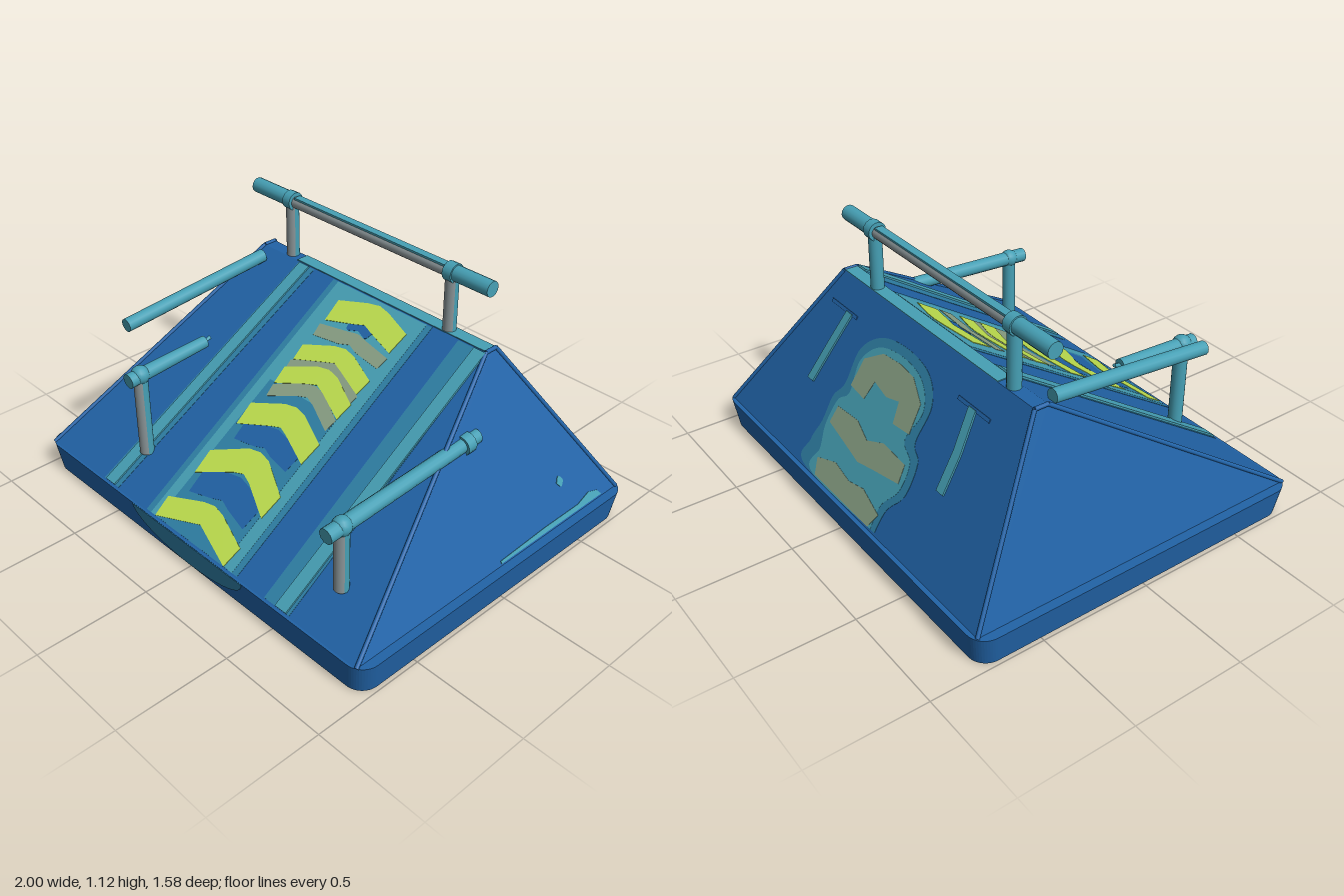
import * as THREE from 'three';

const material = (name, color) => {
  const m = new THREE.MeshStandardMaterial({ color, side: THREE.DoubleSide });
  m.name = name;
  return m;
};
const V = (x, y, z) => new THREE.Vector3(x, y, z);

export function createModel() {
  const blue = material('blue', 0x2163a7);
  const mid = material('midTeal', 0x2f80a6);
  const teal = material('teal', 0x46a0b5);
  const lime = material('lime', 0xbfe04f);
  const olive = material('olive', 0xa0b068);
  const khaki = material('khaki', 0x89a085);
  const grey = material('grey', 0x8c979a);

  const model = new THREE.Group();
  const add = (name, geometry, mat) => {
    const mesh = new THREE.Mesh(geometry, mat);
    mesh.name = name;
    model.add(mesh);
    return mesh;
  };

  // Round bar between two points
  const rod = (name, a, b, r, mat, r2 = r, start = 0, arc = Math.PI * 2) => {
    const g = new THREE.CylinderGeometry(r2, r, a.distanceTo(b), 14, 1, false, start, arc);
    const mesh = add(name, g, mat);
    mesh.position.copy(a).lerp(b, 0.5);
    mesh.quaternion.setFromUnitVectors(V(0, 1, 0), b.clone().sub(a).normalize());
  };

  // Upright teal post with a worn grey front
  const post = (name, x, z, y0, y1, r) => {
    const from = -0.75;
    const arc = 1.95;
    rod(name + 'Front', V(x, y0, z), V(x, y1, z), r, grey, r, from, arc);
    rod(name + 'Back', V(x, y0, z), V(x, y1, z), r, teal, r, from + arc, Math.PI * 2 - arc);
  };

  // Flat faces, each with a local frame for plates
  const frame = (origin, X, Y) =>
    new THREE.Matrix4().makeBasis(X, Y, X.clone().cross(Y).normalize()).setPosition(origin);
  const front = { m: frame(V(0, 0.6284, 0), V(1, 0, 0), V(0, 0.639, -1)), map: (x, z) => [x, -z] };
  const back = { m: frame(V(0, 1.426, 0), V(-1, 0, 0), V(0, 1.683, 1)), map: (x, z) => [-x, z] };
  const side = { m: frame(V(1.0316, 0, 0), V(0, 0, -1), V(-0.551, 1, 0)), map: (z, y) => [-z, y] };
  const floor = { m: frame(V(0, 0.1, 0), V(1, 0, 0), V(0, 0, -1)), map: (x, z) => [x, -z] };

  // Thin plate centred in a face
  const plate = (name, face, pts, mat, depth, smooth = false) => {
    const p = pts.map(([a, b]) => new THREE.Vector2(...face.map(a, b)));
    let shape = new THREE.Shape(p);
    if (smooth) {
      shape = new THREE.Shape();
      shape.moveTo(p[0].x, p[0].y);
      shape.splineThru([...p.slice(1), p[0]]);
    }
    const g = new THREE.ExtrudeGeometry(shape, { depth, bevelEnabled: false, curveSegments: 36 });
    g.translate(0, 0, -depth / 2).applyMatrix4(face.m);
    add(name, g, mat);
  };
  const band = (x0, x1, z0, z1, shift = 0) =>
    [[x0, z0], [x1, z0], [x1 - shift, z1], [x0 - shift, z1]];
  const chevron = (cx, w, apex, drop, t) => [
    [cx - w, apex + drop], [cx - 0.06, apex + 0.01], [cx, apex], [cx + 0.06, apex + 0.01],
    [cx + w, apex + drop], [cx + w - 0.01, apex + drop + t], [cx + 0.05, apex + t + 0.015],
    [cx, apex + t], [cx - 0.05, apex + t + 0.015], [cx - w + 0.01, apex + drop + t]];

  // Base tray with rounded corners, narrower at the foot
  const roundedRect = (Type, w, d, r) => {
    const s = new Type();
    [[w - r, d - r, 0], [r - w, d - r, 1], [r - w, r - d, 2], [w - r, r - d, 3]].forEach(
      ([x, y, i]) => s.absarc(x, y, r, i * Math.PI / 2, (i + 1) * Math.PI / 2));
    s.closePath();
    return s;
  };
  const outline = roundedRect(THREE.Shape, 1, 0.79, 0.08);
  outline.holes.push(roundedRect(THREE.Path, 0.945, 0.735, 0.04));
  const tray = new THREE.ExtrudeGeometry(outline, { depth: 0.13, bevelEnabled: false, curveSegments: 6 });
  tray.rotateX(-Math.PI / 2);
  const tp = tray.attributes.position;
  for (let i = 0; i < tp.count; i++) {
    if (tp.getY(i) < 0.01) tp.setXYZ(i, tp.getX(i) * 0.982, 0, tp.getZ(i) * 0.978);
  }
  tray.computeVertexNormals();
  add('baseTray', tray, blue);

  // Sloping shell
  const c = [
    V(-0.96, 0.13, 0.78), V(0.96, 0.13, 0.78), V(0.96, 0.13, -0.77), V(-0.96, 0.13, -0.77),
    V(-0.74, 0.82, -0.3), V(0.58, 0.82, -0.3), V(0.58, 0.82, -0.36), V(-0.74, 0.82, -0.36)];
  const quads = [[0, 1, 5, 4], [1, 2, 6, 5], [2, 3, 7, 6], [3, 0, 4, 7], [4, 5, 6, 7]];
  const corners = quads.flatMap(([a, b, d, e]) => [a, b, d, a, d, e].map((i) => c[i]));
  const shell = new THREE.BufferGeometry().setFromPoints(corners);
  shell.computeVertexNormals();
  add('rampShell', shell, blue);

  // Ribs along the shell edges
  [[0, 4], [1, 5], [2, 6], [3, 7], [4, 7], [5, 6]].forEach(([a, b]) => rod('edgeRib', c[a], c[b], 0.009, blue));
  const cap = add('ridgePaint', new THREE.BoxGeometry(1.1, 0.006, 0.06), teal);
  cap.position.set(0.03, 0.821, -0.33);

  // Painted bands on the front ramp
  plate('centreHalo', front, band(-0.28, 0.3, 0.775, -0.295), mid, 0.003);
  plate('centreBand', front, band(-0.25, 0.27, 0.775, -0.295), teal, 0.0045);
  plate('centreLane', front, band(-0.2, 0.21, 0.775, 0.15), mid, 0.006);
  plate('leftTrackHalo', front, band(-0.58, -0.48, 0.775, -0.295, -0.075), mid, 0.003);
  plate('rightTrackHalo', front, band(0.46, 0.6, 0.775, -0.295, 0.02), mid, 0.003);
  [[0.02, 0.2, -0.15, 0.03, 0.05], [0.02, 0.2, -0.02, 0.07, 0.05], [0.02, 0.19, 0.09, 0.07, 0.05]]
    .forEach((k) => plate('fadedChevron', front, chevron(...k), khaki, 0.0075));
  [[0.01, 0.17, 0.29, 0.03, 0.08], [0.01, 0.18, 0.5, 0.04, 0.1], [0.01, 0.07, -0.19, 0.01, 0.03]]
    .forEach((k) => plate('blueGap', front, chevron(...k), blue, 0.0075));

  // Chevrons on the ramp, repeated lengthened over the underside
  plate('undersideFloor', floor, band(-0.95, 0.95, 0.74, -0.74), blue, 0.003);
  const stretch = 1.35;
  [[0.02, 0.2, -0.28, 0.05, 0.09], [0.02, 0.2, -0.08, 0.06, 0.065], [0.02, 0.2, 0.015, 0.07, 0.07],
    [0.01, 0.21, 0.19, 0.07, 0.09], [0.01, 0.22, 0.39, 0.09, 0.095], [0, 0.23, 0.63, 0.065, 0.08]]
    .forEach((k) => {
      const pts = chevron(...k);
      plate('chevron', front, pts, lime, 0.0095);
      plate('undersideChevron', floor, pts.map(([x, z]) => [x, (z - 0.24) * stretch]), olive, 0.008);
    });

  // Raised side tracks
  [[-0.565, -0.505, -0.07], [0.525, 0.585, 0]].forEach(([x0, x1, shift]) =>
    plate('sideTrack', front, band(x0, x1, 0.775, -0.295, shift), teal, 0.018));

  // Faded paint on the front of the tray
  const fade = new THREE.Shape();
  fade.absellipse(-0.01, 0, 0.35, 0.125, Math.PI, Math.PI * 2);
  const trayPaint = add('trayPaint', new THREE.ExtrudeGeometry(fade, { depth: 0.003, bevelEnabled: false }), mid);
  trayPaint.position.set(0, 0.128, 0.789);
  trayPaint.rotation.x = 0.133;

  // Painted patches on the back slope
  plate('backHalo', back, [[-0.26, -0.765], [-0.27, -0.71], [-0.33, -0.66], [-0.32, -0.59], [-0.26, -0.56],
    [-0.26, -0.48], [-0.17, -0.43], [0, -0.415], [0.17, -0.43], [0.27, -0.48], [0.27, -0.56],
    [0.31, -0.6], [0.31, -0.66], [0.33, -0.71], [0.3, -0.765]], mid, 0.003, true);
  plate('backBand', back, [[-0.23, -0.765], [-0.23, -0.71], [-0.29, -0.66], [-0.28, -0.6], [-0.2, -0.57],
    [-0.23, -0.5], [-0.15, -0.45], [0, -0.435], [0.16, -0.45], [0.24, -0.5], [0.22, -0.57],
    [0.27, -0.6], [0.28, -0.66], [0.25, -0.71], [0.24, -0.765]], teal, 0.0045, true);
  plate('backStripeLow', back, [[-0.21, -0.765], [-0.24, -0.73], [-0.1, -0.71], [0, -0.72], [0.12, -0.71],
    [0.24, -0.73], [0.21, -0.765]], khaki, 0.007);
  plate('backStripeMid', back, [[-0.27, -0.65], [-0.26, -0.61], [-0.1, -0.605], [0, -0.625], [0.1, -0.605],
    [0.25, -0.61], [0.26, -0.65], [0.1, -0.665], [0, -0.675], [-0.1, -0.665]], khaki, 0.007);
  plate('backArch', back, [[-0.21, -0.555], [-0.2, -0.49], [-0.1, -0.455], [0, -0.45], [0.12, -0.455],
    [0.22, -0.49], [0.23, -0.555], [0.12, -0.56], [0.1, -0.515], [0, -0.525], [-0.08, -0.515], [-0.1, -0.56]], khaki, 0.007);

  // T-shaped brackets set into the back slope
  [[-0.47, [-0.465, -0.49, -0.495]], [0.47, [0.49, 0.46, 0.425]]].forEach(([x, stem], i) => {
    const z = i ? [-0.605, -0.52, -0.43] : [-0.43, -0.52, -0.605];
    plate('bracketBar', back, band(x - 0.1, x + 0.1, -0.426, -0.434), blue, 0.008);
    const edge = (d) => stem.map((sx, j) => [sx + d, z[j]]);
    plate('bracketStem', back, [...edge(-0.022), ...edge(0.022).reverse()], teal, 0.016);
  });

  // Paint marks on the side slope
  plate('sideSpot', side, [[-0.44, 0.27], [-0.46, 0.29], [-0.48, 0.27], [-0.46, 0.25]], teal, 0.006, true);
  plate('sideStreak', side, [[-0.02, 0.137], [-0.02, 0.147], [-0.3, 0.155], [-0.52, 0.155], [-0.6, 0.172],
    [-0.65, 0.16], [-0.67, 0.137]], teal, 0.006);

  // Top rail on two posts, worn grey along the middle
  [-0.58, 0.36].forEach((x) => {
    post('railPost', x, -0.33, 0.8, 1.06, 0.029);
    rod('railCollar', V(x - 0.022, 1.083, -0.33), V(x + 0.022, 1.083, -0.33), 0.041, teal);
  });
  rod('topRailRight', V(-0.81, 1.084, -0.33), V(-0.56, 1.084, -0.33), 0.034, teal);
  rod('topRailLeft', V(0.34, 1.084, -0.33), V(0.565, 1.084, -0.33), 0.034, teal);
  rod('topRailCentre', V(-0.56, 1.08, -0.33), V(0.34, 1.08, -0.33), 0.026, grey);
  const strip = add('topRailPaint', new THREE.BoxGeometry(0.88, 0.009, 0.036), teal);
  strip.position.set(-0.11, 1.104, -0.33);

  // Loose bar on the right edge
  rod('rightBar', V(-0.69, 0.737, 0.52), V(-0.69, 0.803, -0.24), 0.03, teal);

  // Handrails standing on the ramp
  [[-0.485, 0.24, 0.62, V(-0.485, 0.618, 0.67), V(-0.485, 0.645, 0.27), 0.027],
    [0.708, 0.24, 0.53, V(0.708, 0.53, 0.69), V(0.708, 0.575, -0.12), 0.03]].forEach(([x, y0, y1, a, b, r2]) => {
    post('handrailPost', x, 0.61, y0, y1, 0.031);
    rod('handrail', a, b, 0.033, teal, r2);
    const joint = add('handrailJoint', new THREE.SphereGeometry(0.041, 14, 10), teal);
    joint.position.set(x, y1 + 0.005, 0.61);
  });
  rod('handrailTip', V(-0.485, 0.645, 0.27), V(-0.485, 0.655, 0.24), 0.008, teal);
  rod('handrailCollar', V(0.708, 0.568, -0.03), V(0.708, 0.571, -0.075), 0.042, teal);

  return model;
}
